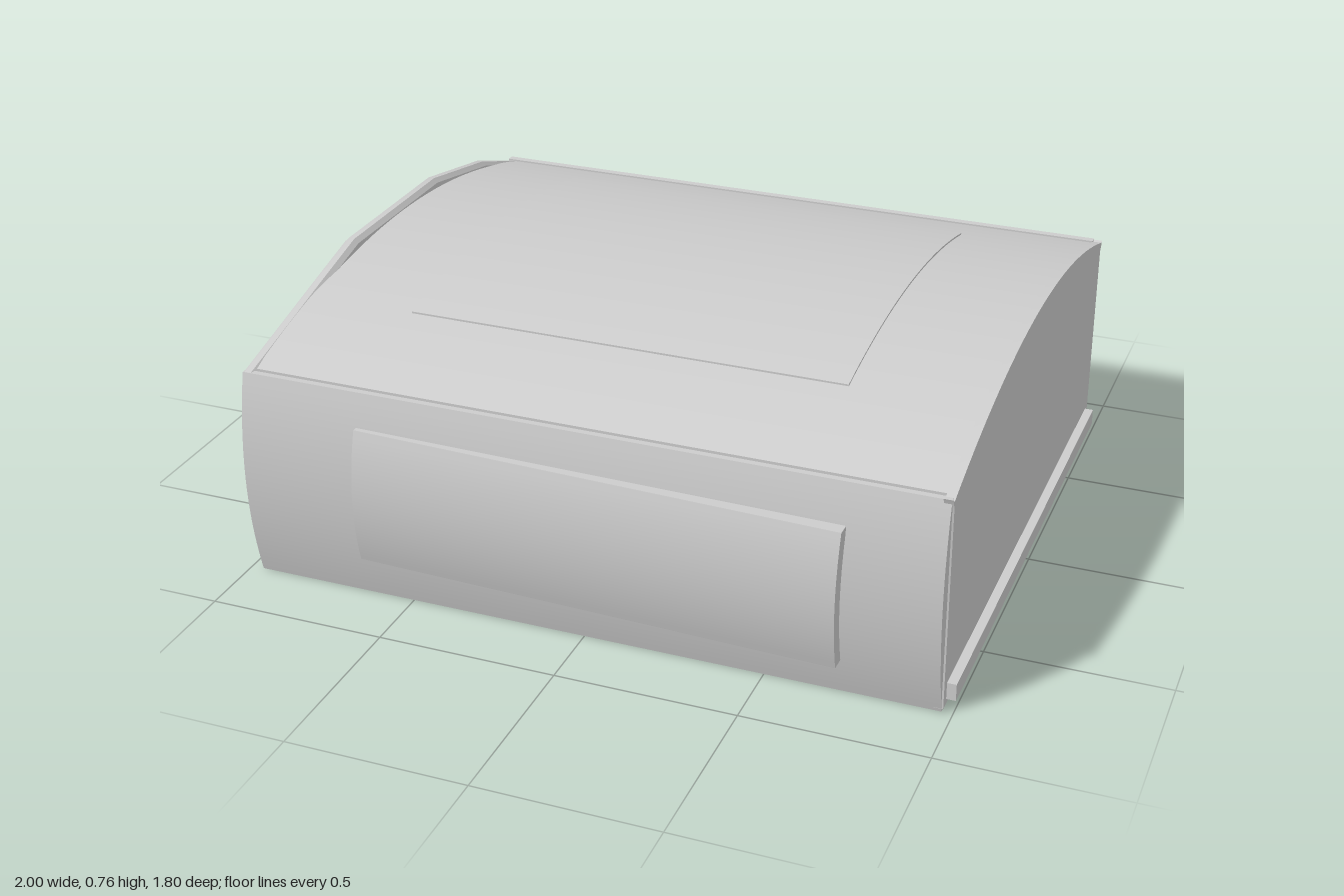
import * as THREE from 'three';
import { toCreasedNormals } from 'three/addons/utils/BufferGeometryUtils.js';

// Height of the arched roof at depth z
const roofY = (z, peak = 0.9) => peak - 0.135 * ((z + 0.03) / 0.82) ** 2;

// Points [z, y] along the roof between two depths
function roofArc(z0, z1, lift = 0, peak = 0.9, n = 28) {
  return Array.from({ length: n + 1 }, (_, i) => {
    const z = z0 + ((z1 - z0) * i) / n;
    return [z, roofY(z, peak) + lift];
  });
}

// Points [z, y] along a bowed wall that passes through zMid halfway up
function wallArc(y0, y1, z0, zMid, z1, n = 20) {
  return Array.from({ length: n + 1 }, (_, i) => {
    const t = i / n;
    const bow = zMid - (z0 + z1) / 2;
    return [z0 + (z1 - z0) * t + bow * 4 * t * (1 - t), y0 + (y1 - y0) * t];
  });
}

// Closed [z, y] profile swept from x0 to x1
function sweep(points, x0, x1, bevel = 0) {
  const shape = new THREE.Shape(points.map(([z, y]) => new THREE.Vector2(-z, y)));
  const g = new THREE.ExtrudeGeometry(shape, {
    depth: x1 - x0 - 2 * bevel, bevelEnabled: bevel > 0, bevelSize: bevel,
    bevelThickness: bevel, bevelOffset: -bevel, bevelSegments: 1,
  });
  g.translate(0, 0, x0 + bevel);
  g.rotateY(Math.PI / 2);
  return toCreasedNormals(g, 0.4);
}

// Thickens an arc into a closed band by shifting a reversed copy
const band = (arc, dz, dy) => [...arc, ...arc.map(([z, y]) => [z + dz, y + dy]).reverse()];

export function createModel() {
  const model = new THREE.Group();
  model.name = 'archedCase';
  const grey = new THREE.MeshStandardMaterial({ color: 0xcccccc });
  grey.name = 'lightGrey';

  const add = (name, geometry) => {
    const mesh = new THREE.Mesh(geometry, grey);
    mesh.name = name;
    model.add(mesh);
    return mesh;
  };

  // Core with arched roof
  add('body', sweep([[0.785, 0.17], ...roofArc(0.785, -0.85), [-0.85, 0.17]], -0.94, 0.955));

  // Bowed front and back walls
  add('frontPanel', sweep([[0.79, 0.155], ...wallArc(0.155, 0.765, 0.802, 0.848, 0.812), [0.795, 0.765]], -0.965, 0.97));
  add('backPanel', sweep([[-0.84, 0.155], ...wallArc(0.155, 0.77, -0.84, -0.898, -0.872), [-0.85, 0.77]], -0.965, 0.95));

  // Flat end cap following the roof
  add('leftEndCap', sweep([[0.805, 0.165], [0.808, 0.74], [0.82, 0.77],
    ...roofArc(0.81, -0.86, 0, 0.903), [-0.868, 0.768], [-0.85, 0.74], [-0.85, 0.165]], 0.95, 0.975));

  // Faceted end cap rising a little above the roof
  add('rightEndCap', sweep([[0.8, 0.165], [0.81, 0.765], [0.4, 0.87], [0.22, 0.915], [-0.28, 0.915],
    [-0.61, 0.85], [-0.85, 0.765], [-0.84, 0.165]], -0.972, -0.93, 0.012));

  // Raised hexagon on the faceted end
  add('hexagonPlate', sweep([[0.37, 0.49], [0.28, 0.29], [-0.31, 0.28], [-0.41, 0.46],
    [-0.31, 0.655], [0.28, 0.66]], -1.0, -0.95, 0.015));

  // Raised front plate, slightly skewed
  const plate = add('frontPlate', sweep(band(wallArc(-0.195, 0.195, -0.008, 0.02, -0.008), -0.04, 0), -0.67, 0.67));
  plate.position.set(0.043, 0.468, 0.866);
  plate.rotation.set(0, -0.019, -0.012);

  // Thin plates on the roof and back
  add('roofPlate', sweep(band(roofArc(0.48, -0.62, 0.005), 0, -0.008), -0.63, 0.605));
  add('backPlate', sweep(band(wallArc(0.28, 0.65, -0.887, -0.902, -0.893), 0.009, 0), -0.65, 0.64));

  // Rail along the foot of the flat end
  const rail = add('footRail', new THREE.BoxGeometry(0.035, 0.048, 1.6));
  rail.position.set(0.9825, 0.204, -0.02);

  // Small foot under the base
  const foot = add('foot', new THREE.BoxGeometry(0.04, 0.012, 0.08));
  foot.position.set(0.8, 0.166, 0.03);

  return model;
}
